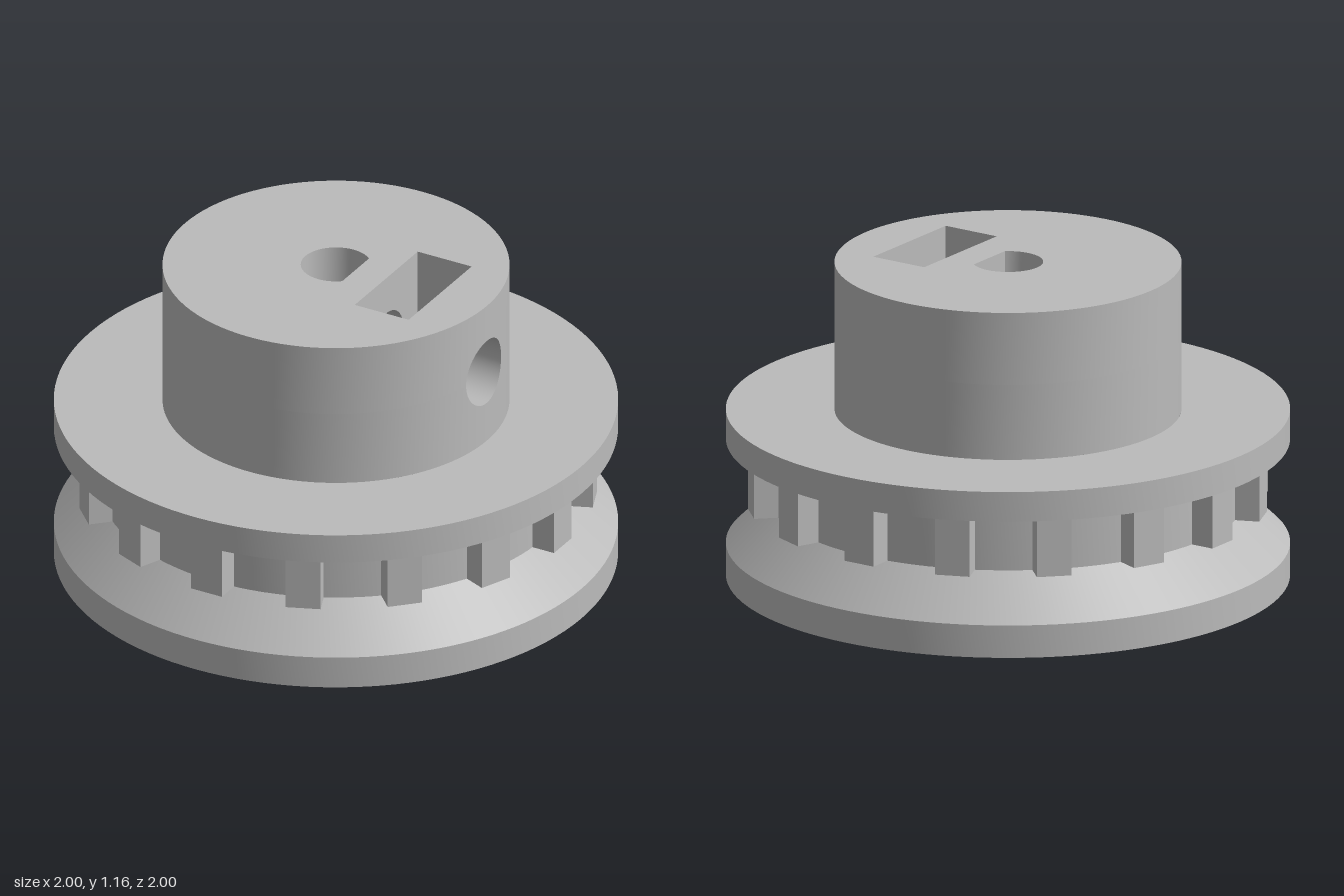
import * as THREE from 'three';
import { toCreasedNormals } from 'three/addons/utils/BufferGeometryUtils.js';

const TOP = 1.16, HUB_R = 0.615, FLANGE_TOP = 0.615, BOSS_R = 0.385, BOSS_Y = 0.11;
const BORE_R = 0.125, FLAT_X = 0.08;               // D-shaped shaft bore
const HOLE_Y = 0.893, HOLE_R = 0.125;              // radial screw hole along +x
const SLOT = { x0: 0.205, x1: 0.425, z: 0.225, floor: 0.665 };
const STEPS = 36;

const V = (x, y, z) => new THREE.Vector3(x, y, z);
const root = (v) => Math.sqrt(Math.max(0, v));
const hubX = (z) => root(HUB_R ** 2 - z * z);
const boreX = (z) => Math.min(FLAT_X, root(BORE_R ** 2 - z * z));

// Closed strip between two matching loops of points
function loft(a, b) {
  const n = a.length, index = [];
  for (let i = 0; i < n; i++) {
    const j = (i + 1) % n;
    index.push(i, j, n + j, i, n + j, n + i);
  }
  const geo = new THREE.BufferGeometry().setFromPoints([...a, ...b]);
  geo.setIndex(index);
  return toCreasedNormals(geo, 0.5);
}

// Outline seen from above; h is half the height of the screw hole at each point
function outline(xAt, radius, n) {
  const pts = [];
  for (let i = 0; i <= STEPS; i++) {
    const t = (i / STEPS) * Math.PI, z = HOLE_R * Math.cos(t);
    pts.push({ x: xAt(z), z, h: HOLE_R * Math.sin(t) });
  }
  const start = Math.asin(HOLE_R / radius), sweep = 2 * Math.PI - 2 * start;
  for (let i = 1; i < n; i++) {
    const a = start + (sweep * i) / n;
    pts.push({ x: radius * Math.cos(a), z: -radius * Math.sin(a), h: 0 });
  }
  return pts;
}

// Ring around the screw hole axis, following the surface it ends on
function holeRing(xAt) {
  return Array.from({ length: STEPS * 2 }, (_, i) => {
    const t = (i / STEPS) * Math.PI, z = HOLE_R * Math.cos(t);
    return V(xAt(z), HOLE_Y + HOLE_R * Math.sin(t), z);
  });
}

function rectPath(Type, x0, y0, x1, y1) {
  return new Type([[x0, y0], [x1, y0], [x1, y1], [x0, y1]].map((p) => new THREE.Vector2(...p)));
}

export function createModel() {
  const model = new THREE.Group();
  const grey = new THREE.MeshStandardMaterial({ color: 0xbbbbbb, side: THREE.DoubleSide });
  grey.name = 'grey plastic';
  const add = (name, geo, parent = model) => {
    const mesh = new THREE.Mesh(geo, grey);
    mesh.name = name;
    parent.add(mesh);
    return mesh;
  };

  // Wheel: hollow underside with boss, tapered lower rim, belt track, upper flange
  const profile = [
    [BOSS_R, BOSS_Y], [BOSS_R, 0.38], [0.655, 0.38], [0.655, 0], [1, 0], [1, 0.12],
    [0.84, 0.275], [0.84, 0.505], [1, 0.505], [1, FLANGE_TOP], [HUB_R, FLANGE_TOP],
  ].map((p) => new THREE.Vector2(...p));
  add('wheel', toCreasedNormals(new THREE.LatheGeometry(profile, 120), 0.5));

  // Belt teeth
  const teeth = new THREE.Group();
  teeth.name = 'teeth';
  model.add(teeth);
  const toothGeo = new THREE.BoxGeometry(0.125, 0.23, 0.105).translate(0, 0.39, 0.8725);
  for (let i = 0; i < 16; i++) add('tooth', toothGeo, teeth).rotation.y = (i * Math.PI) / 8;

  // Upright walls, split at the screw hole's middle
  const hub = outline(hubX, HUB_R, 96), bore = outline(boreX, BORE_R, 36);
  const wall = (name, cols, bottom) => {
    const at = (f) => cols.map((c) => V(c.x, f(c), c.z));
    add(name + 'Lower', loft(at(() => bottom), at((c) => HOLE_Y - c.h)));
    add(name + 'Upper', loft(at((c) => HOLE_Y + c.h), at(() => TOP)));
  };
  wall('hubWall', hub, FLANGE_TOP);
  wall('shaftBore', [...bore].reverse(), BOSS_Y);

  // Screw hole, on both sides of the nut slot
  add('screwHoleOuter', loft(holeRing(() => SLOT.x1), holeRing(hubX)));
  add('screwHoleInner', loft(holeRing(boreX), holeRing(() => SLOT.x0)));

  // End faces pierced by the bore and, on top, by the slot
  const flat = (cols) => cols.map((c) => new THREE.Vector2(c.x, -c.z));
  const topFace = new THREE.Shape(flat(hub));
  topFace.holes.push(new THREE.Path(flat(bore)),
    rectPath(THREE.Path, SLOT.x0, -SLOT.z, SLOT.x1, SLOT.z));
  add('hubTop', new THREE.ShapeGeometry(topFace).rotateX(-Math.PI / 2).translate(0, TOP, 0));

  const bossFace = new THREE.Shape().absarc(0, 0, BOSS_R, 0, Math.PI * 2);
  bossFace.holes.push(new THREE.Path(flat(bore)));
  add('bossBottom', new THREE.ShapeGeometry(bossFace, 60).rotateX(Math.PI / 2).translate(0, BOSS_Y, 0));

  // Nut slot: two pierced walls, two end walls and a floor
  const side = rectPath(THREE.Shape, -SLOT.z, SLOT.floor, SLOT.z, TOP);
  side.holes.push(new THREE.Path().absarc(0, HOLE_Y, HOLE_R, 0, Math.PI * 2));
  add('slotInnerWall', new THREE.ShapeGeometry(side, STEPS).rotateY(Math.PI / 2).translate(SLOT.x0, 0, 0));
  add('slotOuterWall', new THREE.ShapeGeometry(side, STEPS).rotateY(-Math.PI / 2).translate(SLOT.x1, 0, 0));
  const w = SLOT.x1 - SLOT.x0, mid = (SLOT.x0 + SLOT.x1) / 2, depth = TOP - SLOT.floor;
  for (const s of [-1, 1]) {
    const end = new THREE.PlaneGeometry(w, depth);
    if (s > 0) end.rotateY(Math.PI);
    add('slotEndWall', end.translate(mid, SLOT.floor + depth / 2, s * SLOT.z));
  }
  add('slotFloor', new THREE.PlaneGeometry(w, SLOT.z * 2).rotateX(-Math.PI / 2).translate(mid, SLOT.floor, 0));

  return model;
}
